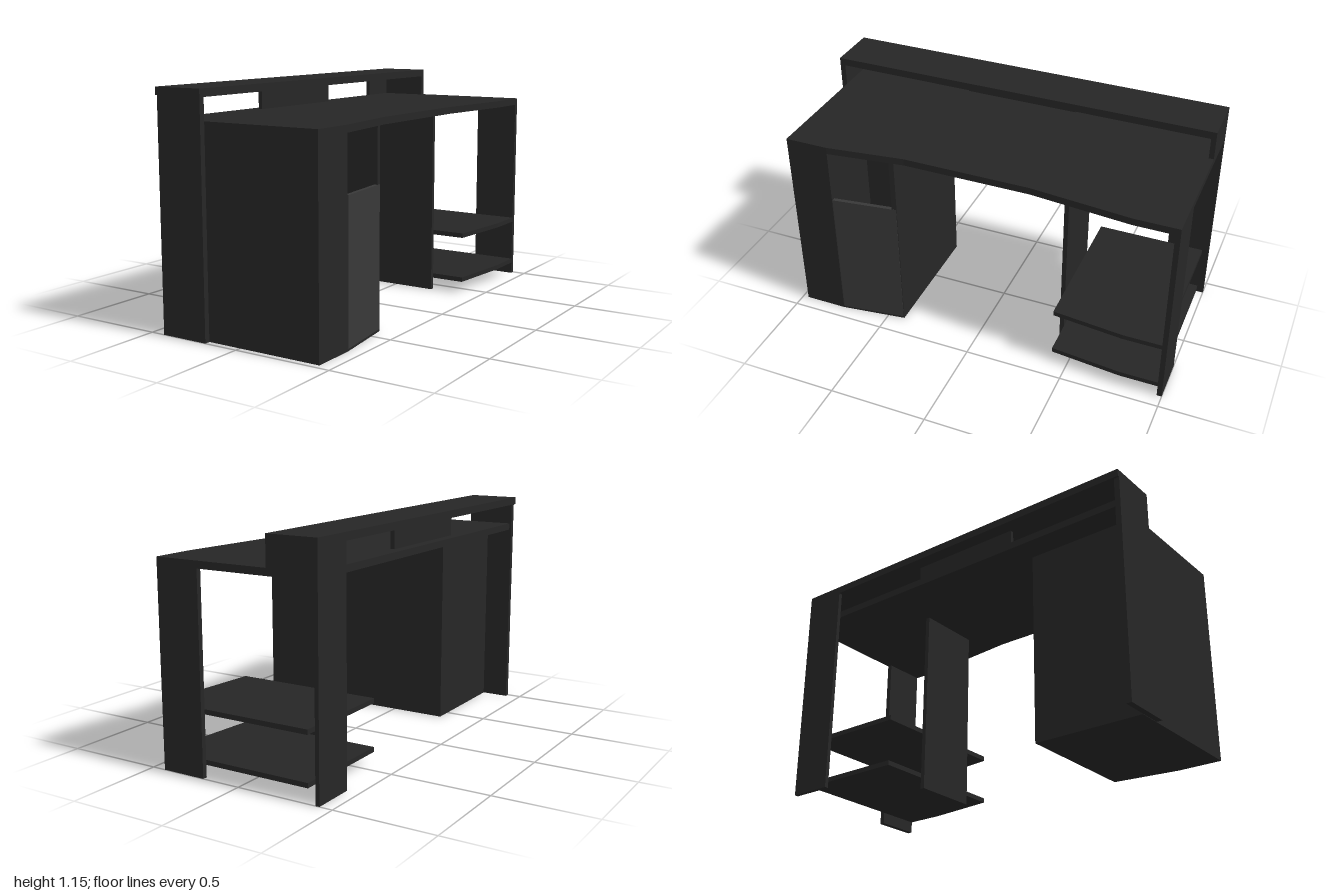
import * as THREE from 'three';

const dark = new THREE.MeshStandardMaterial({ color: 0x262626 });
const doorGrey = new THREE.MeshStandardMaterial({ color: 0x383838 });

// Front edge of the desktop as [x, z] corners
const EDGE = [[0.43, -1], [0.43, -0.78], [0.38, -0.28], [0.38, 0.36], [0.43, 0.75], [0.43, 0.97]];

// x of the front edge at a given z
function edgeX(z) {
  for (let i = 1; i < EDGE.length; i++) {
    const [x0, z0] = EDGE[i - 1], [x1, z1] = EDGE[i];
    if (z <= z1) return x0 + (x1 - x0) * (z - z0) / (z1 - z0);
  }
  return 0.43;
}

// Upright or flat board given by its limits on each axis
function board(name, [x0, x1], [y0, y1], [z0, z1]) {
  const mesh = new THREE.Mesh(new THREE.BoxGeometry(x1 - x0, y1 - y0, z1 - z0), dark);
  mesh.position.set((x0 + x1) / 2, (y0 + y1) / 2, (z0 + z1) / 2);
  mesh.name = name;
  return mesh;
}

// Vertical prism over an outline of [x, z] corners
function prism(name, outline, [y0, y1], material = dark) {
  const shape = new THREE.Shape(outline.map(([x, z]) => new THREE.Vector2(x, z)));
  const geometry = new THREE.ExtrudeGeometry(shape, { depth: y1 - y0, bevelEnabled: false });
  geometry.rotateX(Math.PI / 2).translate(0, y1, 0);
  const mesh = new THREE.Mesh(geometry, material);
  mesh.name = name;
  return mesh;
}

// Board whose front follows the desktop edge between z0 and z1
function contoured(name, back, ys, [z0, z1]) {
  const inner = EDGE.filter(([, z]) => z > z0 && z < z1);
  return prism(name, [[back, z0], [edgeX(z0), z0], ...inner, [edgeX(z1), z1], [back, z1]], ys);
}

export function createModel() {
  const desk = new THREE.Group();
  desk.name = 'desk';

  // Desktop and raised shelf
  desk.add(
    contoured('desktop', -0.415, [0.97, 1.005], [-1, 0.97]),
    board('raisedShelf', [-0.435, -0.175], [1.112, 1.15], [-1, 1]),
    board('shelfSupport', [-0.365, -0.345], [1.005, 1.112], [-0.25, 0.34]),
    board('shelfEnd', [-0.415, -0.175], [1.005, 1.112], [-1, -0.975]),
    board('sidePanel', [-0.425, -0.175], [0, 1.112], [0.972, 1])
  );

  // Legs of the open end
  desk.add(
    board('backLeg', [-0.435, -0.415], [0, 1.112], [-1, -0.78]),
    board('frontLeg', [0.2, 0.43], [0, 0.97], [-1, -0.975]),
    board('innerLeg', [-0.12, 0.22], [0, 0.97], [-0.42, -0.398])
  );

  // Low shelves
  for (const y of [0.06, 0.3]) {
    desk.add(contoured('lowShelf', -0.36, [y, y + 0.024], [-0.975, -0.42]));
  }

  // Cabinet with a short door
  const cabinet = new THREE.Group();
  cabinet.name = 'cabinet';
  const back = -0.285, t = 0.025, zIn = 0.412, zMid = 0.75, zOut = 0.97;
  cabinet.add(
    contoured('cabinetBase', back, [0, 0.015], [zIn, zOut]),
    board('cabinetBack', [back, back + t], [0.015, 0.97], [zIn + t, zOut - t]),
    contoured('cabinetInnerSide', back, [0.015, 0.97], [zIn, zIn + t]),
    board('cabinetOuterSide', [back, 0.43], [0.015, 0.97], [zOut - t, zOut]),
    board('cabinetFrontPanel', [0.43 - t, 0.43], [0.015, 0.97], [zMid, zOut - t])
  );
  const lap = 0.002, thick = 0.02;
  const a = edgeX(zIn) + lap, b = edgeX(zMid) + lap;
  cabinet.add(prism('cabinetDoor',
    [[a - thick, zIn + 0.003], [a, zIn + 0.003], [b, zMid - 0.005], [b - thick, zMid - 0.005]],
    [0.012, 0.7], doorGrey));
  desk.add(cabinet);

  return desk;
}
